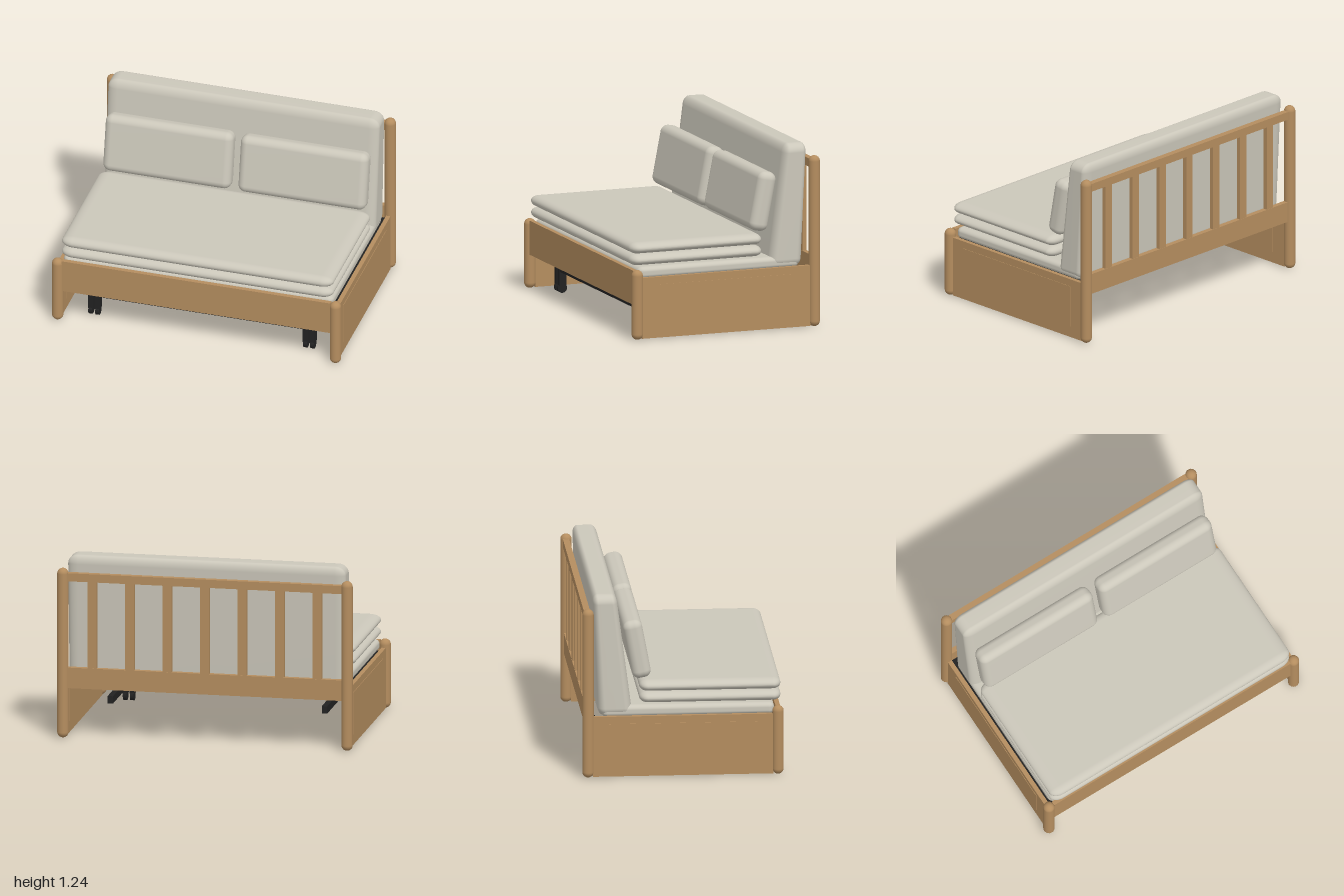
import * as THREE from 'three';
import { mergeVertices } from 'three/addons/utils/BufferGeometryUtils.js';

const wood = new THREE.MeshStandardMaterial({ color: 0xb48d5f });
const fabric = new THREE.MeshStandardMaterial({ color: 0xcbc7ba });
const metal = new THREE.MeshStandardMaterial({ color: 0x222222 });

// Soft box with a separate corner radius on each axis
function cushionGeometry(size, radius) {
  let geo = new THREE.BoxGeometry(2, 2, 2, 14, 14, 14);
  geo.deleteAttribute('uv');
  geo.deleteAttribute('normal');
  geo = mergeVertices(geo);
  const pos = geo.attributes.position;
  const edge = 1 / 7; // inner, flat share of each side
  for (let i = 0; i < pos.count; i++) {
    const u = [pos.getX(i), pos.getY(i), pos.getZ(i)];
    const s = u.map((v) => Math.tan(Math.max(0, (Math.abs(v) - edge) / (1 - edge)) * Math.PI / 4));
    const len = Math.hypot(...s);
    const p = u.map((v, k) => {
      const inner = size[k] / 2 - radius[k];
      return Math.sign(v) * (inner * Math.min(1, Math.abs(v) / edge) + radius[k] * s[k] / len);
    });
    pos.setXYZ(i, ...p);
  }
  geo.computeVertexNormals();
  return geo;
}

export function createModel() {
  const model = new THREE.Group();
  model.name = 'sofaBed';

  function add(name, geo, mat, x = 0, y = 0, z = 0, parent = model) {
    const mesh = new THREE.Mesh(geo, mat);
    mesh.name = name;
    mesh.position.set(x, y, z);
    parent.add(mesh);
    return mesh;
  }
  // Box given by its limits on each axis
  function box(name, mat, x0, x1, y0, y1, z0, z1, parent) {
    return add(name, new THREE.BoxGeometry(x1 - x0, y1 - y0, z1 - z0), mat,
      (x0 + x1) / 2, (y0 + y1) / 2, (z0 + z1) / 2, parent);
  }

  // Posts and side panels
  const r = 0.038;
  const post = (h) => new THREE.CapsuleGeometry(r, h - 2 * r, 8, 24);
  for (const side of [-1, 1]) {
    const label = side > 0 ? 'left' : 'right';
    add(label + 'FrontPost', post(0.47), wood, side * 0.962, 0.235, 0.632);
    add(label + 'BackPost', post(1.155), wood, side * 0.962, 0.5775, -0.632);
    const x = side * 0.959;
    box(label + 'SidePanel', wood, x - 0.015, x + 0.015, 0.005, 0.415, -0.6, 0.6);
    // Raised field on both faces of the panel
    box(label + 'PanelField', wood, x - 0.018, x + 0.018, 0.08, 0.365, -0.495, 0.495);
  }

  // Front board, back rails and back slats
  box('frontBoard', wood, -0.93, 0.93, 0.23, 0.46, 0.617, 0.648);
  box('backTopRail', wood, -0.93, 0.93, 1.07, 1.125, -0.655, -0.613);
  box('backLowerRail', wood, -0.93, 0.93, 0.34, 0.48, -0.648, -0.613);
  for (let i = -3; i <= 3; i++) {
    const x = i * 0.254;
    box('backSlat', wood, x - 0.03, x + 0.03, 0.46, 1.08, -0.646, -0.617);
  }

  // Seat base and two folded mattress layers
  add('seatBase', cushionGeometry([1.87, 0.08, 1.15], [0.04, 0.03, 0.04]), fabric, 0, 0.438, 0.035);
  for (const y of [0.523, 0.602]) {
    add('mattressLayer', cushionGeometry([1.88, 0.075, 0.94], [0.08, 0.037, 0.055]), fabric, 0, y, 0.185);
  }

  // Back cushion, thinner and leaning back towards the top
  const backGeo = cushionGeometry([1.88, 0.835, 1], [0.07, 0.06, 0.22]);
  const pos = backGeo.attributes.position;
  for (let i = 0; i < pos.count; i++) {
    const t = pos.getY(i) / 0.835 + 0.5;
    const front = -0.33 - 0.11 * t;
    const rear = -0.562 - 0.037 * t;
    pos.setZ(i, THREE.MathUtils.lerp(rear, front, pos.getZ(i) + 0.5));
  }
  backGeo.computeVertexNormals();
  add('backCushion', backGeo, fabric, 0, 0.8175, 0);

  // Two loose pillows leaning on the back
  for (const side of [-1, 1]) {
    const pillow = add('pillow', cushionGeometry([0.885, 0.4, 0.128], [0.05, 0.05, 0.05]),
      fabric, side * 0.468, 0.85, -0.3);
    pillow.rotation.x = -0.19;
  }

  // Pull-out slatted base: fixed and sliding slats interleaved
  const base = new THREE.Group();
  base.name = 'slidingBase';
  model.add(base);
  for (let i = -10; i <= 10; i++) {
    const x = i * 0.086;
    const y = i % 2 ? 0.365 : 0.382;
    box('baseSlat', metal, x - 0.038, x + 0.038, y, y + 0.018, -0.42, 0.6, base);
    if (i % 2) box('slatHolder', metal, x - 0.025, x + 0.025, 0.335, 0.37, -0.613, -0.57, base);
  }
  box('frontBar', metal, -0.74, 0.74, 0.145, 0.195, 0.48, 0.52, base);
  for (const side of [-1, 1]) {
    const mid = side * 0.725;
    box('sideLedge', metal, side * 0.92 - 0.025, side * 0.92 + 0.025, 0.345, 0.395, -0.6, 0.6, base);
    box('sideRunner', metal, mid - 0.018, mid + 0.018, 0.145, 0.195, -0.22, 0.5, base);
    // Paired legs with casters
    for (const offset of [0.72, 0.768]) {
      const x = side * offset;
      box('leg', metal, x - 0.018, x + 0.018, 0.05, 0.37, 0.475, 0.525, base);
      const wheel = add('caster', new THREE.CylinderGeometry(0.033, 0.033, 0.026, 20), metal,
        x, 0.034, 0.5, base);
      wheel.rotation.z = Math.PI / 2;
    }
  }
  return model;
}
